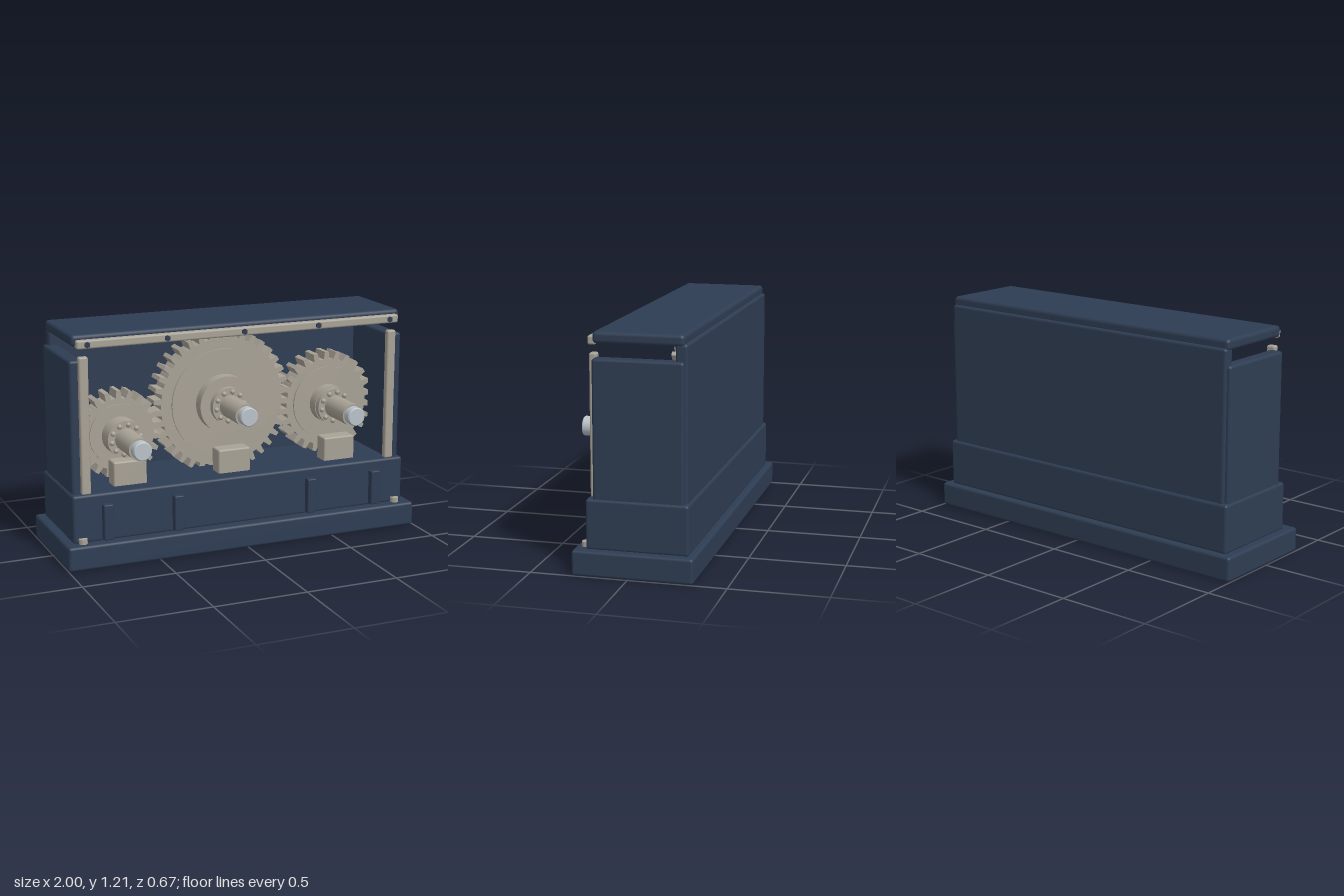
import * as THREE from 'three';
import { RoundedBoxGeometry } from 'three/addons/geometries/RoundedBoxGeometry.js';

const mat = (name, color) => {
  const m = new THREE.MeshStandardMaterial({ color });
  m.name = name;
  return m;
};

export function createModel() {
  const navy = mat('navy paint', 0x2e3d53);
  const tan = mat('warm grey metal', 0xa8a296);
  const steel = mat('pale steel', 0xbac3c9);
  const model = new THREE.Group();
  model.name = 'gearbox';

  const add = (parent, name, geometry, material, x = 0, y = 0, z = 0) => {
    const mesh = new THREE.Mesh(geometry, material);
    mesh.name = name;
    mesh.position.set(x, y, z);
    parent.add(mesh);
    return mesh;
  };
  // Rounded box given by its limits on each axis
  const box = (name, material, [x0, x1], [y0, y1], [z0, z1], r = 0.015) =>
    add(model, name, new RoundedBoxGeometry(x1 - x0, y1 - y0, z1 - z0, 3, r), material,
      (x0 + x1) / 2, (y0 + y1) / 2, (z0 + z1) / 2);
  // Cylinder along z between two depths
  const rod = (parent, name, material, r, z0, z1, x = 0, y = 0, sides = 40) =>
    add(parent, name, new THREE.CylinderGeometry(r, r, z1 - z0, sides).rotateX(Math.PI / 2),
      material, x, y, (z0 + z1) / 2);

  // Housing
  box('basePlinth', navy, [-1, 1], [0, 0.13], [-0.33, 0.287]);
  box('lowerBody', navy, [-0.955, 0.955], [0.125, 0.383], [-0.297, 0.225]);
  box('backWall', navy, [-0.925, 0.925], [0.36, 1.165], [-0.285, -0.223]);
  box('lid', navy, [-0.93, 0.93], [1.15, 1.21], [-0.27, 0.19], 0.02);
  for (const s of [-1, 1]) {
    const span = (a, b) => (s > 0 ? [a, b] : [-b, -a]);
    box('sideWall', navy, span(0.87, 0.945), [0.37, 1.08], [-0.27, 0.19]);
    box('frontTrim', tan, span(0.85, 0.9), [0.38, 1.1], [0.178, 0.215], 0.01);
    for (const x of [0.385, 0.773])
      box('frontRib', navy, span(x - 0.026, x + 0.026), [0.138, 0.328], [0.2, 0.262], 0.006);
    add(model, 'baseBolt', new THREE.CylinderGeometry(0.023, 0.023, 0.03, 20), tan,
      s * 0.907, 0.141, 0.235);
  }

  // Rail under the lid with its hex bolts
  box('topRail', tan, [-0.91, 0.91], [1.141, 1.186], [0.178, 0.219], 0.01);
  for (let i = -2; i <= 2; i++)
    rod(model, 'railBolt', navy, 0.016, 0.2, 0.227, i * 0.428, 1.163, 6);

  // Toothed wheel outline with tapered teeth
  const gearShape = (outer, root, teeth) => {
    const shape = new THREE.Shape();
    const step = (Math.PI * 2) / teeth;
    for (let i = 0; i < teeth; i++) {
      const profile = [[-0.5, root], [-0.29, root], [-0.17, outer], [0.17, outer], [0.29, root]];
      profile.forEach(([t, r], k) => {
        const a = Math.PI / 2 + (i + t) * step;
        const x = Math.cos(a) * r, y = Math.sin(a) * r;
        if (i === 0 && k === 0) shape.moveTo(x, y);
        else shape.lineTo(x, y);
      });
    }
    shape.closePath();
    return shape;
  };

  // Gear, hub, bearing and shaft assemblies
  const gears = [
    { x: -0.61, y: 0.612, outer: 0.237, teeth: 22, face: 0.166, hub: 0.1 },
    { x: -0.02, y: 0.732, outer: 0.395, teeth: 38, face: 0.293, hub: 0.156 },
    { x: 0.607, y: 0.67, outer: 0.285, teeth: 26, face: 0.202, hub: 0.104 },
  ];
  for (const g of gears) {
    const group = new THREE.Group();
    group.name = 'gearAssembly';
    group.position.set(g.x, g.y, 0);
    model.add(group);
    const wheel = new THREE.ExtrudeGeometry(gearShape(g.outer, g.outer - 0.042, g.teeth),
      { depth: 0.11, bevelEnabled: false });
    add(group, 'gearWheel', wheel, tan, 0, 0, -0.143);
    rod(group, 'gearFace', tan, g.face, -0.15, -0.024, 0, 0, 64);
    rod(group, 'hub', tan, g.hub, -0.16, 0.04, 0, 0, 48);
    rod(group, 'bearing', tan, 0.1, 0, 0.075);
    for (let i = 0; i < 10; i++) {
      const a = (i / 10) * Math.PI * 2 + 0.15;
      add(group, 'bearingBall', new THREE.SphereGeometry(0.014, 12, 8), tan,
        Math.cos(a) * 0.08, Math.sin(a) * 0.08, 0.078);
    }
    rod(group, 'shaftCollar', tan, 0.06, 0.05, 0.288);
    rod(group, 'shaft', steel, 0.05, -0.23, 0.33);
    const tip = add(group, 'shaftTip',
      new THREE.CylinderGeometry(0.045, 0.05, 0.006, 40).rotateX(Math.PI / 2), steel);
    tip.position.z = 0.333;

    // Support block standing on the lower body
    box('supportBlock', tan, [g.x - 0.092, g.x + 0.092], [0.37, 0.512], [0.045, 0.138], 0.01);
  }
  return model;
}
